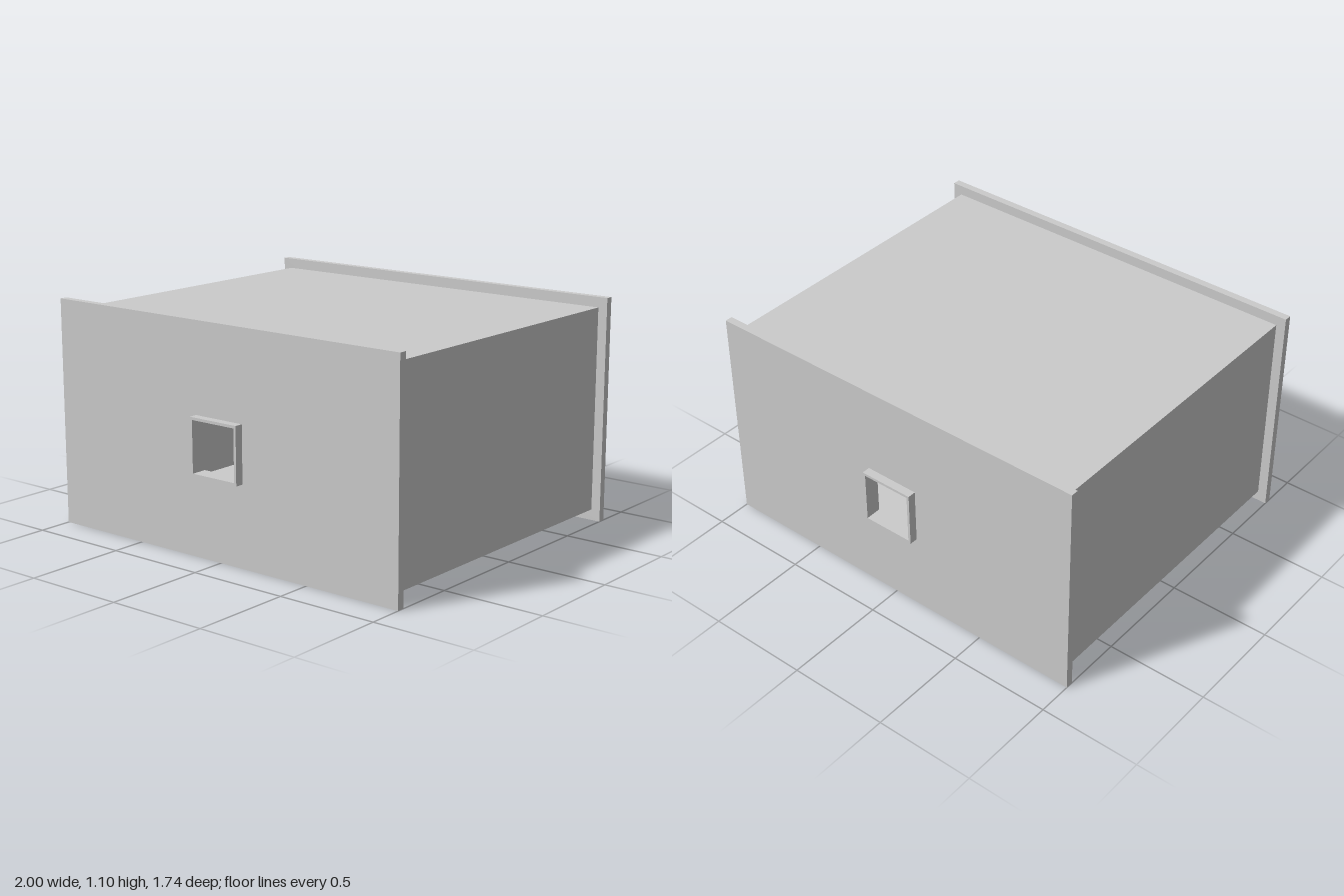
import * as THREE from 'three';

const material = new THREE.MeshStandardMaterial({ color: 0xcccccc, flatShading: true });
const shellMaterial = new THREE.MeshStandardMaterial({ color: 0xcccccc, flatShading: true, side: THREE.DoubleSide });

const PLATE_Z = 0.793; // inner face of the end plates
const PLATE_DEPTH = 0.037;
const COLLAR_DEPTH = 0.041;
const HOLE_Y = 0.53;

function rectangle(PathType, x, y0, y1) {
  return new PathType([[-x, y0], [x, y0], [x, y1], [-x, y1]].map(([a, b]) => new THREE.Vector2(a, b)));
}

// Rectangular frame with a square hole, extruded along z
function frame(name, x, y0, y1, hole, z, depth) {
  const shape = rectangle(THREE.Shape, x, y0, y1);
  shape.holes.push(rectangle(THREE.Path, hole, HOLE_Y - hole, HOLE_Y + hole));
  const geometry = new THREE.ExtrudeGeometry(shape, { depth, bevelEnabled: false });
  const mesh = new THREE.Mesh(geometry, material);
  mesh.name = name;
  mesh.position.z = z;
  return mesh;
}

// End plate with its raised collar around the opening
function endCap(name) {
  const cap = new THREE.Group();
  cap.name = name;
  cap.add(
    frame('endPlate', 1, 0, 1.1, 0.124, PLATE_Z, PLATE_DEPTH),
    frame('openingCollar', 0.137, HOLE_Y - 0.137, HOLE_Y + 0.137, 0.124, PLATE_Z + PLATE_DEPTH, COLLAR_DEPTH)
  );
  return cap;
}

export function createModel() {
  const model = new THREE.Group();
  model.name = 'hollowBox';

  // Thin hollow body, open at both ends behind the plates
  const body = new THREE.Group();
  body.name = 'body';
  const halfWidth = 0.953, bottom = 0.053, top = 1.05;
  const height = top - bottom, middle = (top + bottom) / 2;
  const panel = (name, width, depth, x, y, rx, ry) => {
    const mesh = new THREE.Mesh(new THREE.PlaneGeometry(width, depth), shellMaterial);
    mesh.name = name;
    mesh.position.set(x, y, 0);
    mesh.rotation.set(rx, ry, 0);
    body.add(mesh);
  };
  const length = PLATE_Z * 2;
  for (const side of [-1, 1]) {
    panel(side > 0 ? 'leftWall' : 'rightWall', length, height, side * halfWidth, middle, 0, side * Math.PI / 2);
    panel(side > 0 ? 'roof' : 'floor', halfWidth * 2, length, 0, side > 0 ? top : bottom, -side * Math.PI / 2, 0);
  }
  model.add(body);

  // Matching caps at front and back
  const back = endCap('backCap');
  back.rotation.y = Math.PI;
  model.add(endCap('frontCap'), back);

  return model;
}
